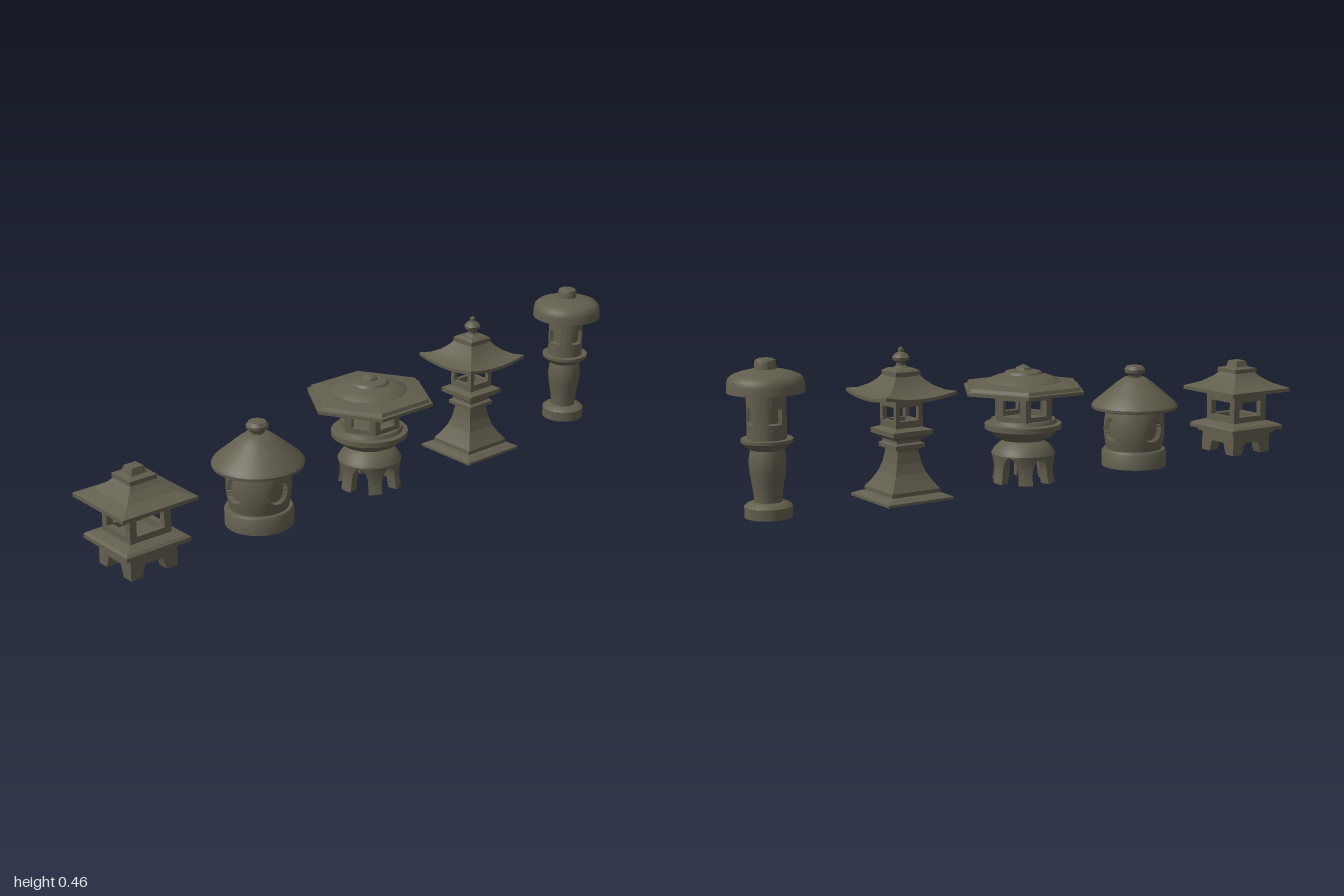
import * as THREE from 'three';
import { toCreasedNormals } from 'three/addons/utils/BufferGeometryUtils.js';

const stone = new THREE.MeshStandardMaterial({ color: 0x625e4e });
stone.name = 'stone';

function add(group, name, geo, crease = 0.6) {
  const mesh = new THREE.Mesh(toCreasedNormals(geo, crease), stone);
  mesh.name = name;
  group.add(mesh);
  return mesh;
}

const points = (profile) => profile.map(([r, y]) => new THREE.Vector2(r, y));

// Round part turned from a bottom-to-top profile of [radius, y]
const round = (profile, segments = 48) => new THREE.LatheGeometry(points(profile), segments);

// Flat-sided part with n sides; the profile holds [half width across flats, y]
function sided(profile, n = 4) {
  const k = 1 / Math.cos(Math.PI / n);
  return new THREE.LatheGeometry(points(profile.map(([r, y]) => [r * k, y])), n).rotateY(Math.PI / n);
}

// Apply a rule to every vertex
function bend(geo, rule) {
  const p = geo.attributes.position;
  const v = new THREE.Vector3();
  for (let i = 0; i < p.count; i++) {
    v.fromBufferAttribute(p, i);
    rule(v);
    p.setXYZ(i, v.x, v.y, v.z);
  }
  return geo;
}

// Ring of n wall panels cut from one outline
function panelRing(group, name, n, apothem, thickness, shape) {
  for (let i = 0; i < n; i++) {
    const geo = new THREE.ExtrudeGeometry(shape, { depth: thickness, bevelEnabled: false });
    geo.translate(0, 0, apothem - thickness).rotateY((i * 2 * Math.PI) / n);
    add(group, name, geo, 0.2);
  }
}

function outline(pts) {
  return new THREE.Shape(pts.map(([x, y]) => new THREE.Vector2(x, y)));
}
const rect = (w, y0, y1) => [[-w, y0], [w, y0], [w, y1], [-w, y1]];

function windowPanel(w, y0, y1, holeW, h0, h1) {
  const s = outline(rect(w, y0, y1));
  s.holes.push(new THREE.Path(rect(holeW, h0, h1).reverse().map(([x, y]) => new THREE.Vector2(x, y))));
  return s;
}

// Round drum with four recessed windows; inside(across, y) marks the recess
function recessedDrum(radiusAt, y0, y1, depth, inside) {
  const rows = 44;
  const profile = [];
  for (let i = 0; i <= rows; i++) {
    const y = y0 + ((y1 - y0) * i) / rows;
    profile.push([radiusAt((y - y0) / (y1 - y0)), y]);
  }
  return bend(round(profile, 160), (v) => {
    const across = Math.min(Math.abs(v.x), Math.abs(v.z));
    if (!inside(across, v.y)) return;
    const r = Math.hypot(v.x, v.z);
    const k = (r - depth) / r;
    v.x *= k;
    v.z *= k;
  });
}

function squareLowLantern() {
  const g = new THREE.Group();
  g.name = 'squareLowLantern';
  panelRing(g, 'feet', 4, 0.08, 0.036, outline([
    [-0.08, 0], [-0.042, 0], [-0.03, 0.038], [0.03, 0.038], [0.042, 0], [0.08, 0], [0.08, 0.068], [-0.08, 0.068],
  ]));
  add(g, 'platform', sided([[0, 0.04], [0.06, 0.04], [0.08, 0.066], [0.09, 0.066], [0.09, 0.074], [0.11, 0.078],
    [0.11, 0.09], [0.102, 0.097], [0.075, 0.106], [0, 0.106]]), 0.1);
  panelRing(g, 'windowWall', 4, 0.07, 0.02, windowPanel(0.07, 0.1, 0.21, 0.047, 0.125, 0.175));
  add(g, 'roof', sided([[0, 0.206], [0.127, 0.206], [0.127, 0.218], [0.085, 0.234], [0.055, 0.255], [0.04, 0.272],
    [0, 0.272]]), 0.1);
  add(g, 'roofCap', sided([[0, 0.27], [0.046, 0.27], [0.046, 0.283], [0.026, 0.288], [0.02, 0.308], [0, 0.311]]), 0.1);
  return g;
}

function roundLowLantern() {
  const g = new THREE.Group();
  g.name = 'roundLowLantern';
  add(g, 'base', round([[0, 0], [0.105, 0], [0.105, 0.048], [0.1, 0.056], [0, 0.057]]));
  add(g, 'body', recessedDrum((t) => 0.09 + 0.009 * Math.sin(t * Math.PI), 0.055, 0.19, 0.014,
    (a, y) => Math.hypot(a, y - 0.125) < 0.036));
  add(g, 'roof', round([[0, 0.186], [0.13, 0.186], [0.139, 0.189], [0.14, 0.198], [0.133, 0.208], [0.1, 0.236],
    [0.06, 0.27], [0.035, 0.288], [0, 0.29]]));
  add(g, 'knob', round([[0.02, 0.285], [0.022, 0.295], [0.033, 0.305], [0.034, 0.315], [0.026, 0.325], [0, 0.33]], 32));
  return g;
}

function hexagonLantern() {
  const g = new THREE.Group();
  g.name = 'hexagonLantern';
  // Six curved legs leaving arches between them
  for (let i = 0; i < 6; i++) {
    const leg = bend(new THREE.BoxGeometry(1, 1, 1, 6, 10, 1), (v) => {
      const t = v.y + 0.5;
      const half = THREE.MathUtils.degToRad(13 + 17 * t ** 4);
      const outer = 0.1 - 0.006 * Math.sin(t * Math.PI);
      const r = outer - (0.5 - v.z) * 0.03;
      const a = 2 * v.x * half;
      v.set(r * Math.sin(a), t * 0.09, r * Math.cos(a));
    });
    add(g, 'leg', leg.rotateY(Math.PI / 6 + (i * Math.PI) / 3));
  }
  add(g, 'legDome', round([[0, 0.1], [0.07, 0.088], [0.1, 0.088], [0.093, 0.103], [0.08, 0.117], [0.06, 0.13],
    [0.05, 0.136], [0, 0.136]]));
  add(g, 'tray', round([[0, 0.13], [0.068, 0.132], [0.09, 0.143], [0.108, 0.165], [0.12, 0.167], [0.12, 0.183],
    [0.105, 0.186], [0.1, 0.197], [0, 0.197]]));
  const a = 0.085;
  panelRing(g, 'windowWall', 6, a, 0.018, windowPanel(a * Math.tan(Math.PI / 6), 0.19, 0.29, 0.029, 0.212, 0.262));
  add(g, 'roofEave', sided([[0, 0.284], [0.178, 0.284], [0.178, 0.294], [0.17, 0.296], [0.166, 0.306],
    [0.12, 0.315], [0, 0.32]], 6), 0.1);
  add(g, 'roofDome', round([[0.125, 0.308], [0.115, 0.318], [0.09, 0.329], [0.06, 0.338], [0.055, 0.345], [0.035, 0.35],
    [0.025, 0.35], [0.022, 0.357], [0.008, 0.364], [0, 0.367]]));
  return g;
}

function pagodaLantern() {
  const g = new THREE.Group();
  g.name = 'pagodaLantern';
  add(g, 'pedestal', sided([[0, 0], [0.112, 0], [0.112, 0.008], [0.095, 0.016], [0.082, 0.02], [0.082, 0.032],
    [0.066, 0.055], [0.052, 0.08], [0.042, 0.11], [0.036, 0.145], [0.036, 0.15], [0.05, 0.155], [0.05, 0.167],
    [0.042, 0.172], [0.042, 0.18], [0.068, 0.196], [0.068, 0.21], [0.045, 0.218], [0, 0.218]]), 0.1);
  panelRing(g, 'windowWall', 4, 0.046, 0.014, windowPanel(0.046, 0.21, 0.308, 0.031, 0.238, 0.28));
  // Square roof with upswept corners
  const roof = round([[0, 0.3], [0.06, 0.3], [0.12, 0.304], [0.12, 0.314], [0.095, 0.322], [0.07, 0.338],
    [0.05, 0.358], [0.038, 0.376], [0, 0.38]], 48);
  bend(roof, (v) => {
    const r = Math.hypot(v.x, v.z);
    const hi = Math.max(Math.abs(v.x), Math.abs(v.z));
    if (r < 1e-6) return;
    const corner = Math.min(Math.abs(v.x), Math.abs(v.z)) / hi;
    v.y += 0.014 * corner ** 2 * (r / 0.12) ** 2;
    v.x *= r / hi;
    v.z *= r / hi;
  });
  add(g, 'roof', roof, 0.4);
  add(g, 'roofCap', sided([[0, 0.37], [0.042, 0.37], [0.042, 0.384], [0.03, 0.392], [0, 0.395]]), 0.1);
  add(g, 'finial', round([[0.03, 0.388], [0.014, 0.4], [0.014, 0.408], [0.024, 0.416], [0.026, 0.424], [0.02, 0.433],
    [0.008, 0.44], [0.008, 0.45], [0, 0.456]], 24));
  return g;
}

function columnLantern() {
  const g = new THREE.Group();
  g.name = 'columnLantern';
  add(g, 'base', round([[0, 0], [0.069, 0], [0.069, 0.032], [0.063, 0.038], [0.045, 0.045], [0, 0.045]]));
  add(g, 'column', round([[0.041, 0.04], [0.041, 0.06], [0.045, 0.09], [0.051, 0.125], [0.054, 0.155], [0.052, 0.178],
    [0.047, 0.2]]));
  add(g, 'ring', round([[0.045, 0.195], [0.052, 0.198], [0.072, 0.214], [0.075, 0.218], [0.075, 0.227], [0, 0.229]]));
  add(g, 'body', recessedDrum(() => 0.057, 0.222, 0.366, 0.012, (a, y) => a < 0.0205 && Math.abs(y - 0.295) < 0.021));
  add(g, 'cap', round([[0, 0.361], [0.112, 0.361], [0.111, 0.385], [0.107, 0.4], [0.097, 0.409], [0.075, 0.417],
    [0.035, 0.427], [0, 0.427]]));
  add(g, 'knob', round([[0.031, 0.42], [0.031, 0.444], [0.028, 0.452], [0.021, 0.456], [0, 0.456]], 32));
  return g;
}

export function createModel() {
  const model = new THREE.Group();
  model.name = 'stoneLanterns';
  const row = [
    [squareLowLantern, -0.873],
    [roundLowLantern, -0.435],
    [hexagonLantern, 0.004],
    [pagodaLantern, 0.444],
    [columnLantern, 0.888],
  ];
  for (const [build, x] of row) {
    const lantern = build();
    lantern.position.x = x;
    model.add(lantern);
  }
  return model;
}
